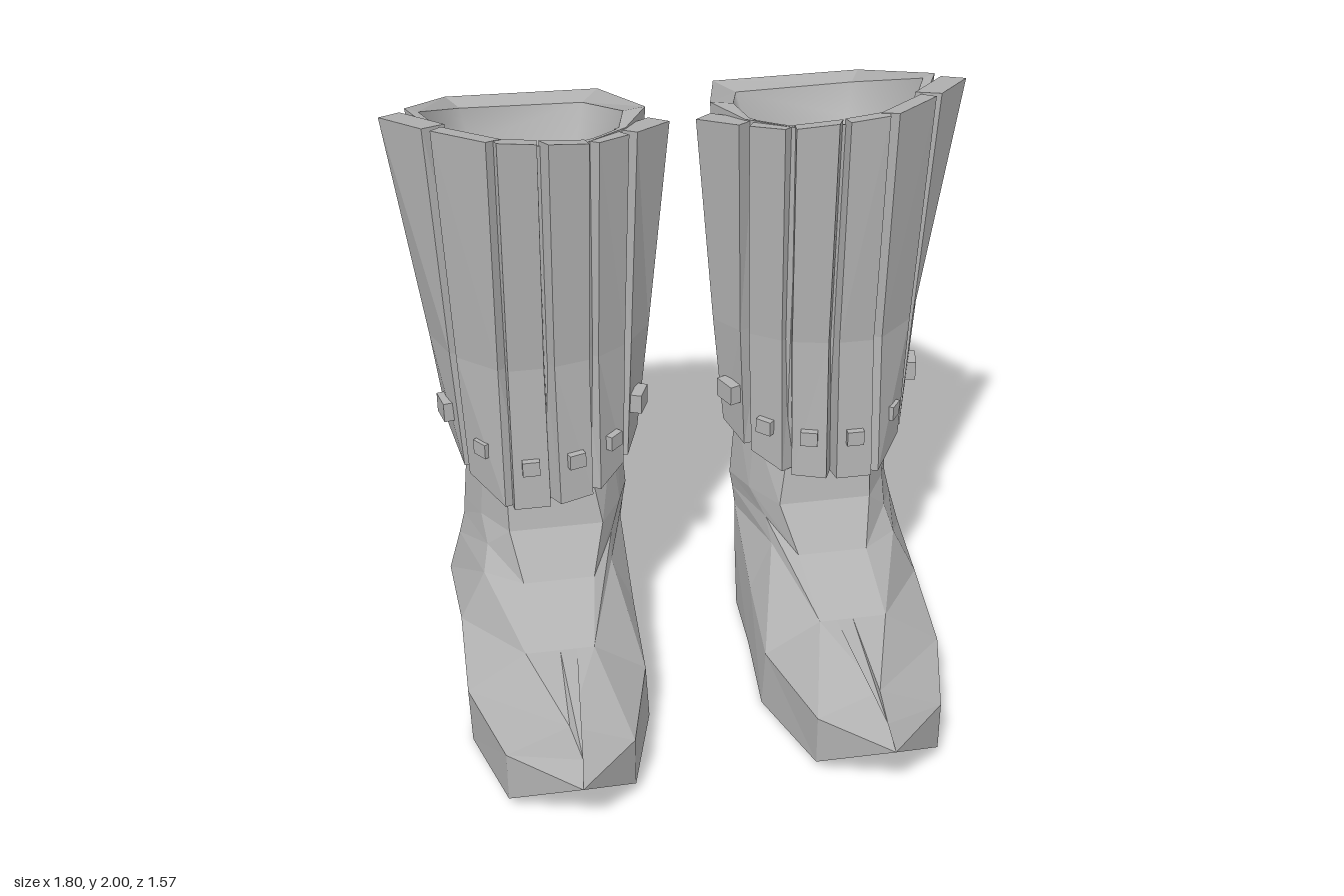
import * as THREE from 'three';

const grey = new THREE.MeshStandardMaterial({ color: 0xb2b2b2 });
grey.name = 'grey leather';

// Joins closed loops of points; faces are turned outward (or inward if inside is set).
function loft(sections, { caps = '', smooth = false, inside = false, side = 1 } = {}) {
  const n = sections[0].length;
  const pts = sections.flat().map(([x, y, z]) => new THREE.Vector3(x * side, y, z));
  const mean = pts.reduce((s, p) => s.add(p), new THREE.Vector3()).divideScalar(pts.length);
  const idx = [];
  const tri = (a, b, c) => {
    const u = pts[b].clone().sub(pts[a]), v = pts[c].clone().sub(pts[a]);
    if (u.cross(v).length() > 1e-7) idx.push(a, b, c);
  };
  const quad = (a, b, c, d) => { tri(a, b, c); tri(a, c, d); };
  for (let s = 0; s < sections.length - 1; s++) {
    for (let i = 0; i < n; i++) {
      const a = s * n + i, b = s * n + (i + 1) % n;
      quad(a, b, b + n, a + n);
    }
  }
  const cap = (o, flip) => {
    for (let i = 0; i < n - 2 - i; i++) {
      const q = [o + i, o + i + 1, o + n - 2 - i, o + n - 1 - i];
      quad(...(flip ? q.reverse() : q));
    }
  };
  if (caps.includes('s')) cap(0, true);
  if (caps.includes('e')) cap((sections.length - 1) * n, false);
  let volume = 0;
  for (let i = 0; i < idx.length; i += 3) {
    const [a, b, c] = [0, 1, 2].map(k => pts[idx[i + k]].clone().sub(mean));
    volume += a.dot(b.cross(c));
  }
  if ((volume < 0) !== inside) idx.reverse();
  let g = new THREE.BufferGeometry().setFromPoints(pts);
  g.setIndex(idx);
  if (!smooth) g = g.toNonIndexed();
  g.computeVertexNormals();
  return g;
}

const mix = (a, b, t) => a.map((v, k) => v + (b[k] - v) * t);

// Foot loops: heel, outer side, toe, inner side
const sole = [[.64, .02, -.69], [.75, .02, -.36], [.74, .04, -.1], [.775, 0, .2], [.69, .04, .55], [.48, .245, .78],
  [.29, .04, .55], [.19, 0, .18], [.2, .04, -.1], [.21, .02, -.36], [.27, .02, -.69]];
const welt = [[.65, .27, -.715], [.79, .3, -.36], [.775, .285, -.08], [.78, .2, .2], [.69, .215, .55], [.48, .245, .78],
  [.29, .215, .55], [.2, .2, .18], [.2, .285, -.08], [.2, .3, -.36], [.27, .27, -.715]];
const toeRidge = [[.49, .29, .54], [.47, .3, .71], [.49, .29, .54]];

// Leg loops have eight corners; the straight front is split to meet the toe points
const instep = [[.63, .44, -.67], [.75, .44, -.36], [.69, .46, -.08], [.59, .34, .22],
  [.37, .34, .22], [.27, .46, -.08], [.2, .44, -.36], [.28, .44, -.67]];
const leg = [
  instep,
  [[.625, .52, -.68], [.73, .52, -.36], [.67, .53, -.14], [.57, .47, .02],
    [.34, .47, .02], [.26, .53, -.14], [.19, .52, -.36], [.28, .52, -.68]],
  [[.62, .58, -.69], [.725, .58, -.36], [.68, .6, -.22], [.6, .61, -.08],
    [.295, .61, -.08], [.22, .6, -.22], [.18, .58, -.36], [.28, .58, -.69]],
  [[.61, .85, -.65], [.7, .85, -.36], [.66, .82, -.24], [.6, .76, -.11],
    [.32, .76, -.11], [.24, .82, -.24], [.2, .85, -.36], [.29, .85, -.65]],
  [[.64, 1.25, -.69], [.76, 1.25, -.36], [.7, 1.25, -.22], [.58, 1.25, -.1],
    [.32, 1.25, -.1], [.22, 1.25, -.2], [.135, 1.25, -.33], [.24, 1.25, -.68]],
  [[.68, 1.84, -.77], [.82, 1.97, -.37], [.74, 1.96, -.2], [.58, 1.96, -.045],
    [.32, 1.95, -.06], [.18, 1.94, -.18], [.1, 1.945, -.32], [.19, 1.84, -.755]],
];
const rim = [[.64, 1.83, -.69], [.78, 1.96, -.36], [.71, 1.955, -.2], [.57, 1.955, -.06],
  [.33, 1.945, -.075], [.2, 1.935, -.19], [.17, 1.94, -.31], [.25, 1.83, -.67]];
const splitFront = r => [...r.slice(0, 4), ...[.25, .5, .75].map(t => mix(r[3], r[4], t)), ...r.slice(4)];
const shrink = (r, k, drop) => r.map(([x, y, z]) => [.46 + (x - .46) * k, y - drop, -.35 + (z + .35) * k]);

// Edges between the shin slats, from the inner side to the outer, at three levels
const slatLevels = [
  { depth: .08, edge: [[.145, .83, -.3], [.2, .79, -.17], [.31, .74, -.06], [.45, .735, -.015],
    [.6, .735, -.015], [.72, .8, -.18], [.76, .865, -.37]] },
  { depth: .07, edge: [[.105, 1.22, -.28], [.185, 1.22, -.17], [.305, 1.22, -.085], [.45, 1.22, -.05],
    [.595, 1.22, -.05], [.74, 1.22, -.18], [.8, 1.22, -.34]] },
  { depth: .06, edge: [[.04, 1.93, -.23], [.165, 1.945, -.12], [.29, 1.955, -.04], [.445, 1.98, 0],
    [.595, 2, .01], [.77, 1.99, -.145], [.9, 1.975, -.3]] },
];
const studHeights = [.98, .9, .885, .885, .925, .99];

function outward(a, b) {
  const dx = b[0] - a[0], dz = b[2] - a[2], l = Math.hypot(dx, dz);
  return [-dz / l, dx / l];
}

// A slat is narrower on its face than at its root, and the end slats reach the leg
function slatSection({ edge, depth }, i) {
  const [p, q] = [edge[i], edge[i + 1]];
  const [nx, nz] = outward(p, q);
  const gap = .017 / Math.hypot(q[0] - p[0], q[2] - p[2]);
  const end = i === 0 || i === 5;
  const d = end ? depth * 1.4 : depth;
  const back = ([x, y, z]) => [x - nx * d, y - .01, z - nz * d];
  const s = i === 0 ? 0 : gap, e = i === 5 ? 0 : gap;
  return [mix(p, q, s), mix(p, q, 1 - e), back(mix(p, q, 1 - e * .5)), back(mix(p, q, s * .5))];
}

// Straps: outer top corners around the back, with y of top and bottom, and the flare
const straps = [
  { name: 'upperStrap', path: [[.835, -.35], [.69, -.785], [.165, -.785], [.085, -.31]],
    top: [1.67, 1.7, 1.7, 1.67], bottom: [1.57, 1.565, 1.565, 1.57], flare: .92 },
  { name: 'lowerStrap', path: [[.775, -.35], [.66, -.735], [.235, -.735], [.13, -.33]],
    top: [1.05, 1.03, 1.03, 1.05], bottom: [.95, .92, .92, .95], flare: .92 },
];

function strapSections({ path, top, bottom, flare }) {
  return path.map(([x, z], i) => {
    const at = (k, y) => [.455 + (x - .455) * k, y, -.35 + (z + .35) * k];
    return [at(1, top[i]), at(flare, bottom[i]), at(.8, bottom[i]), at(.8, top[i])];
  });
}

function boot(side) {
  const g = new THREE.Group();
  const add = (name, geometry) => {
    const m = new THREE.Mesh(geometry, grey);
    m.name = name;
    g.add(m);
    return m;
  };
  // Foot, leg and rim in one skin; the toe closes along its ridge
  const toe = [...instep.slice(0, 4), ...toeRidge, ...instep.slice(4)];
  const opening = splitFront(rim);
  add('bootBody', loft([sole, welt, toe, ...leg.map(splitFront), opening], { caps: 's', side }));
  // Shallow rounded hollow
  add('bootLining', loft([[1, 0], [.88, .1], [.68, .19], [.4, .25], [.01, .27]].map(([k, d]) => shrink(opening, k, d)),
    { smooth: true, inside: true, side }));

  for (let i = 0; i < 6; i++) {
    add('shinSlat', loft(slatLevels.map(l => slatSection(l, i)), { caps: 'se', side }));
    // Stud near the lower end of the slat
    const [low, mid] = slatLevels.map(l => mix(l.edge[i], l.edge[i + 1], .5));
    const p = mix(low, mid, (studHeights[i] - low[1]) / (mid[1] - low[1]));
    const [nx, nz] = outward(slatLevels[0].edge[i], slatLevels[0].edge[i + 1]);
    const wide = i === 0 || i === 5;
    const out = wide ? .008 : -.005;
    const stud = add('stud', new THREE.BoxGeometry(wide ? .08 : .055, wide ? .065 : .05, .05));
    stud.position.set(side * (p[0] + nx * out), p[1], p[2] + nz * out);
    stud.rotation.y = side * Math.atan2(nx, nz);
  }
  for (const s of straps) add(s.name, loft(strapSections(s), { caps: 'se', side }));
  return g;
}

export function createModel() {
  const model = new THREE.Group();
  model.name = 'pairOfBoots';
  for (const side of [1, -1]) {
    const b = boot(side);
    b.name = side > 0 ? 'leftBoot' : 'rightBoot';
    model.add(b);
  }
  return model;
}
